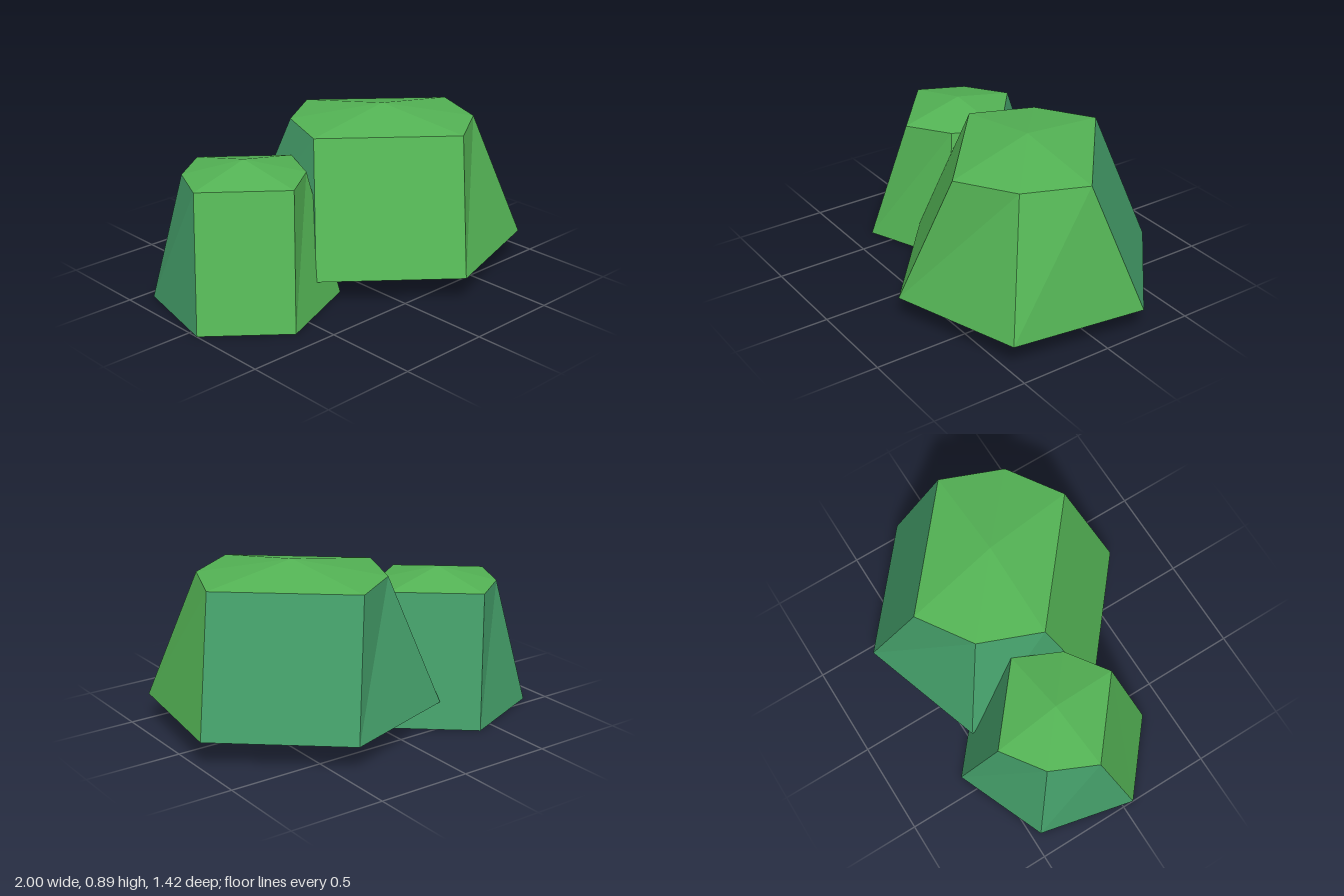
import * as THREE from 'three';

const leafGreen = new THREE.MeshStandardMaterial({ color: 0x53b254, side: THREE.DoubleSide });
leafGreen.name = 'leafGreen';
const seaGreen = new THREE.MeshStandardMaterial({ color: 0x429a66, side: THREE.DoubleSide });
seaGreen.name = 'seaGreen';

// Faceted mesh from a list of triangles, each three [x, y, z] corners
function facets(name, triangles, material) {
  const geometry = new THREE.BufferGeometry();
  geometry.setAttribute('position', new THREE.Float32BufferAttribute(triangles.flat(2), 3));
  geometry.computeVertexNormals();
  const mesh = new THREE.Mesh(geometry, material);
  mesh.name = name;
  return mesh;
}

// Hexagon with point symmetry: three [x, z] corners and their opposites
function hexagon(half, y) {
  return [...half, ...half.map(([x, z]) => [-x, -z])].map(([x, z]) => [x, y, z]);
}

// Tapered six-sided bush, open underneath, with a shallow pointed cap
function bush(name, bottomHalf, topHalf, shoulder, peak) {
  const bottom = hexagon(bottomHalf, 0);
  const top = hexagon(topHalf, shoulder);
  const apex = [0, peak, 0];
  const front = [], back = [], cap = [];
  for (let i = 0; i < 6; i++) {
    const j = (i + 1) % 6;
    const walls = i >= 1 && i <= 3 ? front : back;
    walls.push([bottom[i], top[i], bottom[j]], [bottom[j], top[i], top[j]]);
    cap.push([top[i], apex, top[j]]);
  }
  const group = new THREE.Group();
  group.name = name;
  group.add(
    facets('frontWalls', front, leafGreen),
    facets('backWalls', back, seaGreen),
    facets('cap', cap, leafGreen)
  );
  return group;
}

export function createModel() {
  const model = new THREE.Group();
  model.name = 'bushes';

  const large = bush('largeBush',
    [[0.095, -0.71], [0.68, -0.22], [0.58, 0.49]],
    [[-0.085, -0.5], [0.5, -0.01], [0.37, 0.315]], 0.67, 0.75);
  large.position.set(0.32, 0.14, 0);

  const small = bush('smallBush',
    [[0.115, -0.51], [0.485, -0.2], [0.37, 0.31]],
    [[-0.025, -0.35], [0.35, -0.04], [0.24, 0.2]], 0.67, 0.745);
  small.position.set(-0.515, 0, -0.14);

  model.add(large, small);
  return model;
}
